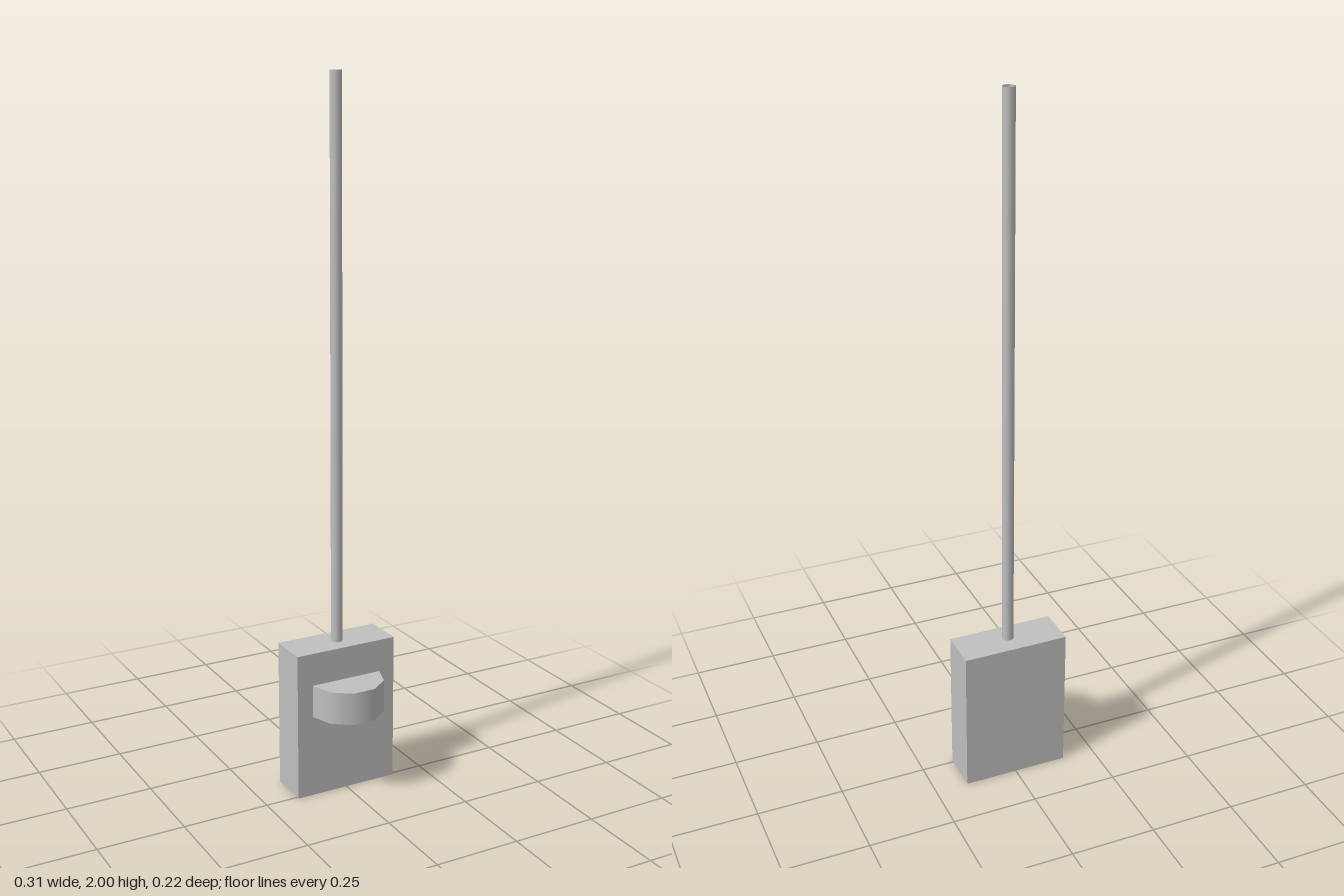
import * as THREE from 'three';

export function createModel() {
  const model = new THREE.Group();
  const grey = new THREE.MeshStandardMaterial({ color: 0xc0c0c0, side: THREE.DoubleSide });
  grey.name = 'grey';

  function add(name, geometry, x, y, z) {
    const mesh = new THREE.Mesh(geometry, grey);
    mesh.name = name;
    mesh.position.set(x, y, z);
    model.add(mesh);
  }

  // Housing: a shell with no bottom face (the fourth of the six box faces)
  const shell = new THREE.BoxGeometry(0.308, 0.43, 0.119);
  const index = Array.from(shell.index.array);
  index.splice(18, 6);
  shell.setIndex(index);
  shell.clearGroups();
  add('housing', shell, 0, 0.215, -0.0515);

  // Half-round knob on the front face
  add('frontKnob', new THREE.CylinderGeometry(0.107, 0.107, 0.094, 5, 1, false, -Math.PI / 2, Math.PI), 0, 0.288, 0.008);

  // Tall hollow pole, open at both ends
  add('pole', new THREE.CylinderGeometry(0.0165, 0.0165, 1.57, 10, 1, true), 0, 1.215, -0.049);

  return model;
}
